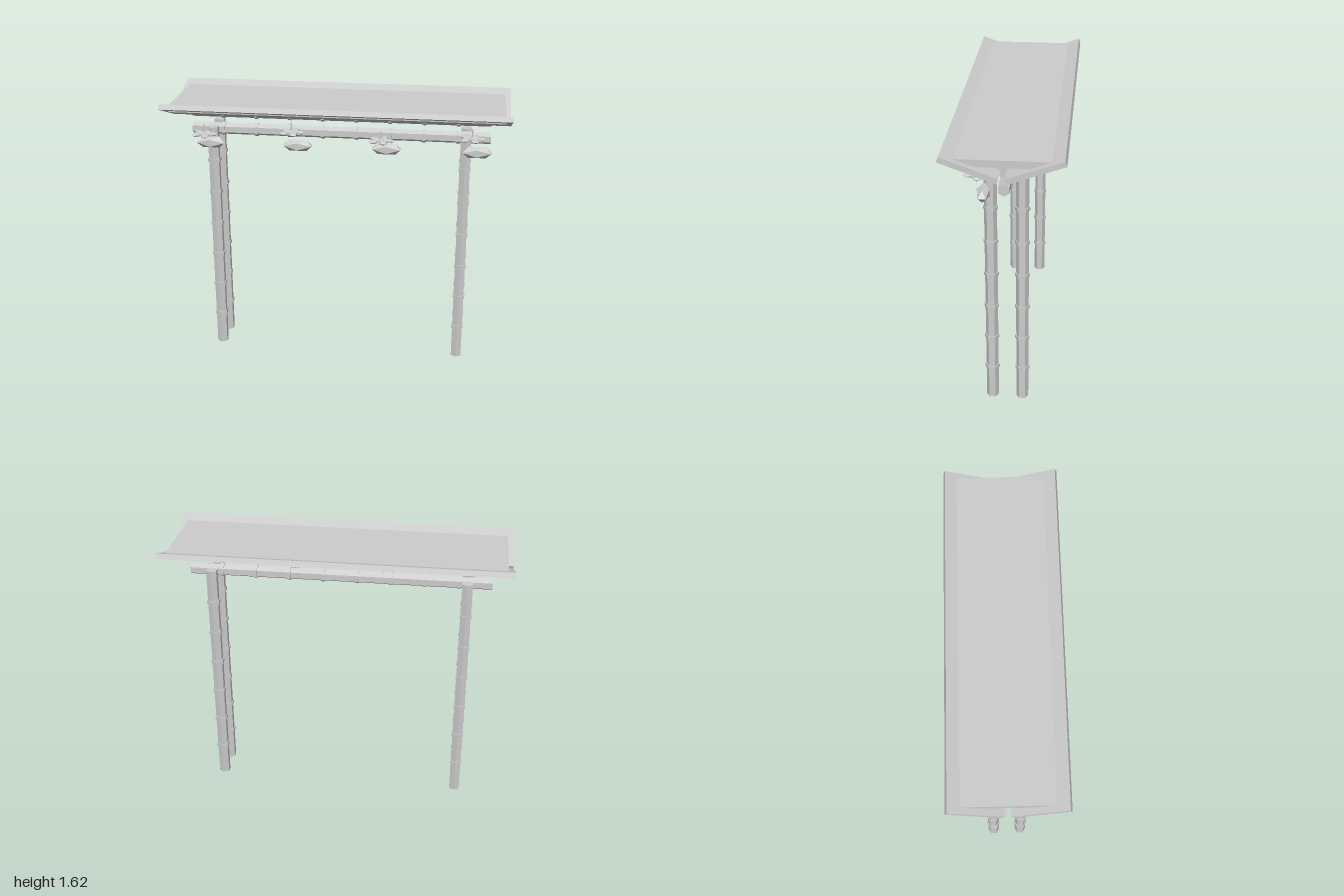
import * as THREE from 'three';

export function createModel() {
  const model = new THREE.Group();
  model.name = 'bambooGate';
  const grey = new THREE.MeshStandardMaterial({ color: 0xcccccc });
  grey.name = 'plain grey';
  grey.flatShading = true;

  const add = (parent, name, geometry, x = 0, y = 0, z = 0) => {
    const mesh = new THREE.Mesh(geometry, grey);
    mesh.name = name;
    mesh.position.set(x, y, z);
    parent.add(mesh);
    return mesh;
  };
  const hex = (radius, length, start) =>
    new THREE.CylinderGeometry(radius, radius, length, 6, 1, false, start);

  // A six-sided cane along y, with raised joints at the given heights
  const cane = (name, length, joints, start) => {
    const group = new THREE.Group();
    group.name = name;
    add(group, 'stalk', hex(0.035, length, start));
    for (const y of joints) add(group, 'joint', hex(0.041, 0.02, start), 0, y, 0);
    model.add(group);
    return group;
  };

  // Four posts in pairs
  const postHeight = 1.43;
  const postJoints = [1, 2, 3, 4, 5, 6].map((i) => (i / 7 - 0.5) * postHeight);
  for (const x of [-0.747, 0.747]) {
    for (const z of [-0.086, 0.086]) {
      cane('post', postHeight, postJoints, 0).position.set(x, postHeight / 2, z);
    }
  }

  // Two horizontal beams
  const beamJoints = [-0.7, -0.5, -0.3, -0.1, 0.1, 0.3, 0.5, 0.7];
  for (const [name, y] of [['lowerBeam', 1.395], ['upperBeam', 1.5]]) {
    const beam = cane(name, 1.78, beamJoints, Math.PI / 6);
    beam.rotation.z = Math.PI / 2;
    beam.position.y = y;
  }

  // V-shaped roof with a flat slab lying inside it
  for (const side of [-1, 1]) {
    const panel = add(model, 'roofPanel', new THREE.BoxGeometry(2, 0.031, 0.32), 0, 1.549, side * 0.171);
    panel.rotation.x = -side * THREE.MathUtils.degToRad(20);
  }
  add(model, 'roofSlab', new THREE.BoxGeometry(1.93, 0.04, 0.5), 0, 1.575, 0);

  // Hanging blossoms, each with a stem and a long faceted lantern
  const petalGeometry = new THREE.IcosahedronGeometry(1, 0);
  const petals = 5;
  for (let i = 0; i < 4; i++) {
    const x = -0.787 + i * 0.523;
    const y = i % 2 ? 1.43 : 1.4;
    const blossom = new THREE.Group();
    blossom.name = 'blossom';
    blossom.position.set(x, y, 0.145);
    for (let p = 0; p < petals; p++) {
      const a = (p / petals) * Math.PI * 2;
      const petal = add(blossom, 'petal', petalGeometry, Math.cos(a) * 0.044, 0, Math.sin(a) * 0.044);
      petal.scale.set(0.037, 0.012, 0.026);
      petal.rotation.y = -a;
    }
    add(blossom, 'blossomCentre', petalGeometry).scale.set(0.022, 0.013, 0.022);
    add(blossom, 'stem', new THREE.CylinderGeometry(0.004, 0.004, 0.06, 5), 0, 0.028, 0);
    model.add(blossom);

    const lantern = add(model, 'lantern', petalGeometry, x + 0.031, 1.342, 0.115);
    lantern.scale.set(0.097, 0.04, 0.04);
  }
  return model;
}
